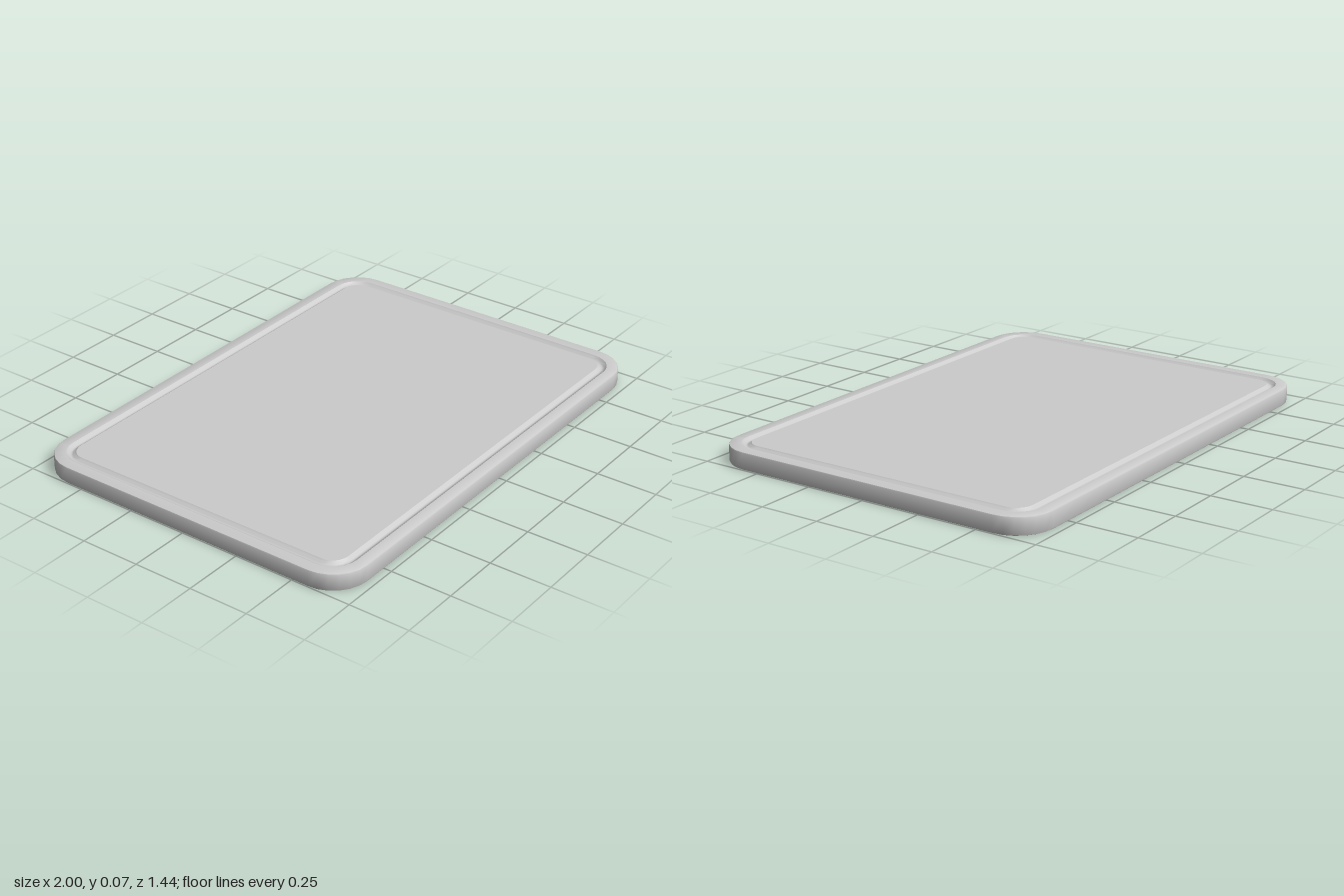
import * as THREE from 'three';
import { toCreasedNormals } from 'three/addons/utils/BufferGeometryUtils.js';

const HALF_X = 1, HALF_Z = 0.72, HEIGHT = 0.072, RADIUS = 0.15, CORNER_STEPS = 6;

// Rounded-rectangle ring, counter-clockwise from above, drawn in by `inset`
function ring(inset, y) {
  const points = [];
  const r = RADIUS - inset;
  [[1, 1], [-1, 1], [-1, -1], [1, -1]].forEach(([sx, sz], corner) => {
    for (let i = 0; i <= CORNER_STEPS; i++) {
      const a = (corner + i / CORNER_STEPS) * Math.PI / 2;
      points.push([
        sx * (HALF_X - RADIUS) + r * Math.cos(a),
        y,
        -sz * (HALF_Z - RADIUS) - r * Math.sin(a),
      ]);
    }
  });
  return points;
}

// Skin a list of [inset, y] rings and close both ends with flat caps
function loftRings(profile) {
  const rings = profile.map(([inset, y]) => ring(inset, y));
  const n = rings[0].length;
  const index = [];
  const bottomCentre = rings.length * n, topCentre = bottomCentre + 1;
  const last = (rings.length - 1) * n;
  for (let j = 0; j < n; j++) {
    const k = (j + 1) % n;
    for (let i = 0; i < rings.length - 1; i++) {
      const a = i * n + j, b = i * n + k;
      index.push(a, b, b + n, a, b + n, a + n);
    }
    index.push(bottomCentre, k, j, topCentre, last + j, last + k);
  }
  const positions = rings.flat(2);
  positions.push(0, profile[0][1], 0, 0, profile[profile.length - 1][1], 0);
  const geometry = new THREE.BufferGeometry();
  geometry.setAttribute('position', new THREE.Float32BufferAttribute(positions, 3));
  geometry.setIndex(index);
  return toCreasedNormals(geometry, Math.PI / 5);
}

export function createModel() {
  const group = new THREE.Group();
  group.name = 'cuttingBoard';

  // Underside, softened bottom edge, side wall, softened top edge
  const profile = [
    [0.006, 0], [0.002, 0.002], [0, 0.006],
    [0, HEIGHT - 0.006], [0.002, HEIGHT - 0.002], [0.006, HEIGHT],
  ];
  // Shallow rounded juice groove, then the flat cutting surface
  const grooveStart = 0.047, grooveWidth = 0.038, grooveDepth = 0.012;
  for (let i = 0; i <= 6; i++) {
    const t = i / 6;
    profile.push([
      grooveStart + grooveWidth * t,
      HEIGHT - grooveDepth * Math.sin(Math.PI * t),
    ]);
  }

  const board = new THREE.Mesh(
    loftRings(profile),
    new THREE.MeshStandardMaterial({ color: 0xcccccc }),
  );
  board.name = 'boardWithGroove';
  group.add(board);
  return group;
}
